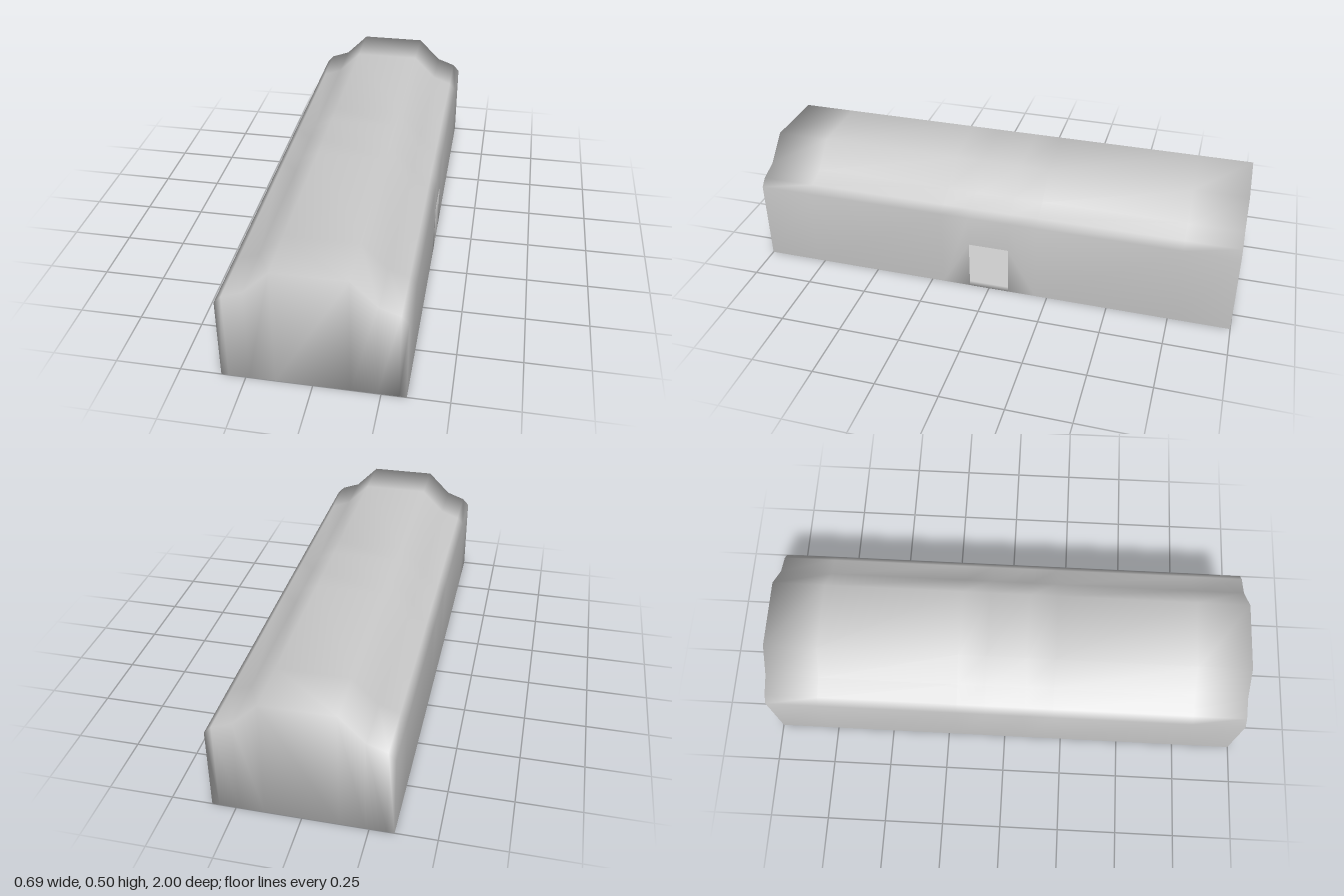
import * as THREE from 'three';
import { mergeVertices } from 'three/addons/utils/BufferGeometryUtils.js';

// Column positions across the hull and the roof height at each
const COLUMNS = [[-0.343, 0.34], [-0.315, 0.37], [-0.237, 0.398], [-0.14, 0.495],
  [0.14, 0.495], [0.237, 0.398], [0.315, 0.37], [0.343, 0.34]];
// Stations along the length; the doorway lies between the two middle ones
const DOOR = { z: 0.083, top: 0.21 };
const STATIONS = [-1, -0.78, -0.2, -DOOR.z, DOOR.z, 0.2, 0.78, 1];

export function createModel() {
  const positions = [];
  // Convex polygon as a fan, corners counter-clockwise from outside
  const face = (...p) => {
    for (let i = 1; i < p.length - 1; i++) positions.push(...p[0], ...p[i], ...p[i + 1]);
  };

  // Roof and floor strips
  for (let j = 0; j < STATIONS.length - 1; j++) {
    const z0 = STATIONS[j], z1 = STATIONS[j + 1];
    for (let i = 0; i < COLUMNS.length - 1; i++) {
      const [x0, h0] = COLUMNS[i], [x1, h1] = COLUMNS[i + 1];
      face([x0, h0, z0], [x0, h0, z1], [x1, h1, z1], [x1, h1, z0]);
      face([x0, 0, z0], [x1, 0, z0], [x1, 0, z1], [x0, 0, z1]);
    }

    // Side walls, with the doorway left open on the +x side
    const [x, h] = COLUMNS[COLUMNS.length - 1];
    face([-x, 0, z0], [-x, 0, z1], [-x, h, z1], [-x, h, z0]);
    if (z0 === -DOOR.z) {
      face([x, DOOR.top, z1], [x, DOOR.top, z0], [x, h, z0], [x, h, z1]);
    } else if (z1 === -DOOR.z) {
      face([x, 0, z0], [x, h, z0], [x, h, z1], [x, DOOR.top, z1], [x, 0, z1]);
    } else if (z0 === DOOR.z) {
      face([x, 0, z1], [x, 0, z0], [x, DOOR.top, z0], [x, h, z0], [x, h, z1]);
    } else {
      face([x, 0, z1], [x, 0, z0], [x, h, z0], [x, h, z1]);
    }
  }

  // Front and back end walls
  for (let i = 0; i < COLUMNS.length - 1; i++) {
    const [x0, h0] = COLUMNS[i], [x1, h1] = COLUMNS[i + 1];
    face([x0, 0, 1], [x1, 0, 1], [x1, h1, 1], [x0, h0, 1]);
    face([x0, 0, -1], [x0, h0, -1], [x1, h1, -1], [x1, 0, -1]);
  }

  // Shared corners give the soft shading across all edges
  let geometry = new THREE.BufferGeometry();
  geometry.setAttribute('position', new THREE.Float32BufferAttribute(positions, 3));
  geometry = mergeVertices(geometry);
  geometry.computeVertexNormals();

  const shell = new THREE.Mesh(geometry,
    new THREE.MeshStandardMaterial({ color: 0xcccccc, side: THREE.DoubleSide }));
  shell.name = 'hollowShellWithDoorway';

  const group = new THREE.Group();
  group.name = 'longHall';
  group.add(shell);
  return group;
}
